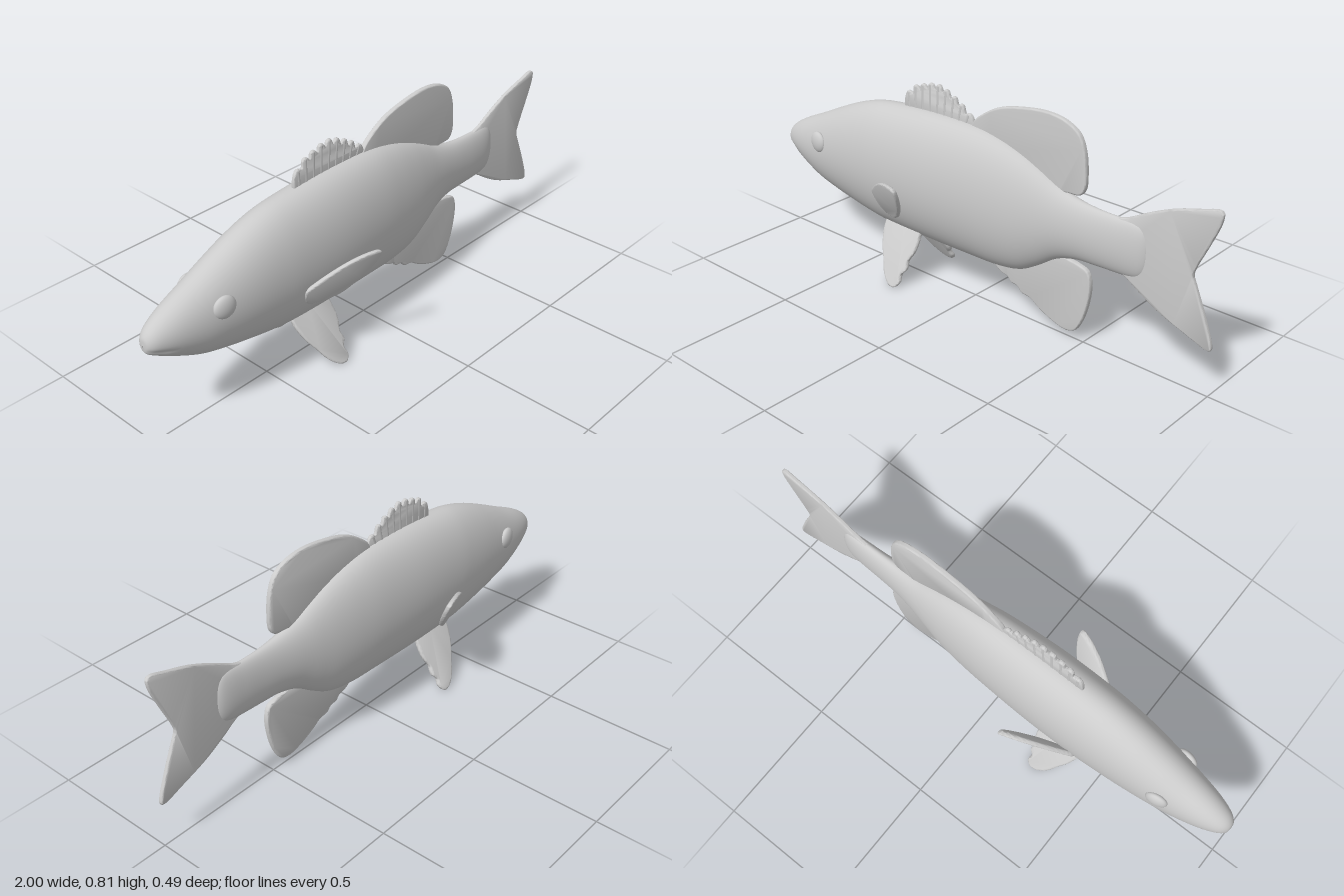
import * as THREE from 'three';
import { toCreasedNormals } from 'three/addons/utils/BufferGeometryUtils.js';

const material = new THREE.MeshStandardMaterial({ color: 0xcccccc, roughness: 0.7, side: THREE.DoubleSide });

function addMesh(parent, name, geometry) {
  const mesh = new THREE.Mesh(geometry, material);
  mesh.name = name;
  parent.add(mesh);
  return mesh;
}

// Body stations from snout to tail root: [x, top, bottom, half width]
const STATIONS = [
  [-1.0, 0.39, 0.382, 0.002], [-0.994, 0.418, 0.358, 0.024], [-0.965, 0.448, 0.337, 0.046],
  [-0.9, 0.485, 0.3, 0.069], [-0.8, 0.53, 0.253, 0.09], [-0.7, 0.577, 0.225, 0.104],
  [-0.6, 0.62, 0.204, 0.115], [-0.5, 0.652, 0.186, 0.122], [-0.4, 0.668, 0.176, 0.126],
  [-0.2, 0.682, 0.172, 0.126], [0, 0.68, 0.172, 0.115], [0.12, 0.662, 0.174, 0.103],
  [0.22, 0.632, 0.192, 0.089], [0.3, 0.598, 0.235, 0.074], [0.38, 0.56, 0.288, 0.058],
  [0.46, 0.536, 0.313, 0.045], [0.54, 0.526, 0.318, 0.037], [0.62, 0.524, 0.321, 0.032],
  [0.68, 0.525, 0.325, 0.027], [0.715, 0.515, 0.338, 0.02], [0.735, 0.48, 0.37, 0.01],
  [0.74, 0.43, 0.42, 0.002],
];

function bodyGeometry() {
  const rings = 126, sides = 64, positions = [], indices = [];
  const curve = (f) => new THREE.CatmullRomCurve3(STATIONS.map(f), false, 'catmullrom', 0.5);
  const along = curve((s) => new THREE.Vector3(s[0], 0, 0));
  const section = curve((s) => new THREE.Vector3(s[1], s[2], s[3]));
  for (let i = 0; i <= rings; i++) {
    const x = along.getPoint(i / rings).x;
    const { x: top, y: bottom, z: width } = section.getPoint(i / rings);
    for (let j = 0; j < sides; j++) {
      const a = (j / sides) * Math.PI * 2;
      const y = (top + bottom) / 2 + ((top - bottom) / 2) * Math.cos(a);
      // The belly is a little keeled
      const s = Math.sin(a);
      let z = width * Math.sign(s) * Math.pow(Math.abs(s), Math.cos(a) < 0 ? 1.12 : 1);
      // Shallow mouth crease
      const d = (y - (0.372 - 0.25 * (x + 1))) / 0.008;
      z *= 1 - 0.1 * Math.exp(-d * d) * THREE.MathUtils.clamp((-0.9 - x) / 0.04, 0, 1);
      positions.push(x, y, z);
      if (i < rings) {
        const k = (j + 1) % sides, p = i * sides, q = p + sides;
        indices.push(p + j, p + k, q + j, p + k, q + k, q + j);
      }
    }
  }
  const geometry = new THREE.BufferGeometry();
  geometry.setAttribute('position', new THREE.Float32BufferAttribute(positions, 3));
  geometry.setIndex(indices);
  geometry.computeVertexNormals();
  return geometry;
}

// Thin plate with rounded rim; lean(x, y) gives the z of its mid-plane
function finGeometry(points, half, lean = () => 0) {
  const outline = new THREE.CatmullRomCurve3(points.map(([x, y]) => new THREE.Vector3(x, y, 0)), true, 'centripetal');
  const shape = new THREE.Shape(outline.getPoints(points.length * 6).slice(0, -1).map((p) => new THREE.Vector2(p.x, p.y)));
  const bevel = half * 0.65, depth = 2 * (half - bevel);
  const geometry = new THREE.ExtrudeGeometry(shape, {
    depth, bevelThickness: bevel, bevelSize: bevel, bevelOffset: -bevel, bevelSegments: 3,
  });
  geometry.translate(0, 0, -depth / 2);
  const p = geometry.attributes.position;
  for (let i = 0; i < p.count; i++) p.setZ(i, p.getZ(i) + lean(p.getX(i), p.getY(i)));
  return toCreasedNormals(geometry, 0.9);
}

const TAIL = [
  [0.58, 0.5], [0.66, 0.535], [0.74, 0.578], [0.83, 0.618], [0.92, 0.645], [0.985, 0.662], [0.998, 0.655],
  [0.996, 0.62], [0.96, 0.53], [0.922, 0.445], [0.914, 0.415], [0.925, 0.385], [0.965, 0.29], [0.998, 0.195],
  [0.998, 0.175], [0.985, 0.171], [0.91, 0.196], [0.8, 0.238], [0.72, 0.282], [0.66, 0.32], [0.58, 0.35],
];
const SOFT_DORSAL = [
  [-0.02, 0.64], [-0.005, 0.695], [0.04, 0.735], [0.11, 0.774], [0.2, 0.798], [0.32, 0.812], [0.4, 0.8],
  [0.455, 0.768], [0.48, 0.715], [0.49, 0.63], [0.485, 0.575], [0.465, 0.553], [0.4, 0.545], [0.34, 0.5], [0.15, 0.58],
];
const ANAL = [
  [0.08, 0.22], [0.1, 0.17], [0.135, 0.147], [0.16, 0.141], [0.175, 0.124], [0.205, 0.119], [0.225, 0.1],
  [0.265, 0.092], [0.3, 0.07], [0.36, 0.042], [0.425, 0.026], [0.465, 0.038], [0.495, 0.085], [0.52, 0.17],
  [0.525, 0.245], [0.51, 0.285], [0.47, 0.3], [0.41, 0.31], [0.34, 0.35], [0.2, 0.3],
];
const PECTORAL = [
  [-0.415, 0.345], [-0.405, 0.3], [-0.385, 0.28], [-0.33, 0.273], [-0.27, 0.285], [-0.225, 0.325],
  [-0.19, 0.375], [-0.172, 0.425], [-0.175, 0.455], [-0.21, 0.459], [-0.27, 0.445], [-0.33, 0.415], [-0.385, 0.375],
];
const PELVIC = [
  [-0.41, 0.225], [-0.415, 0.18], [-0.395, 0.125], [-0.365, 0.08], [-0.335, 0.035], [-0.295, 0.006], [-0.265, 0.005],
  [-0.25, 0.025], [-0.255, 0.05], [-0.24, 0.07], [-0.245, 0.1], [-0.232, 0.13], [-0.232, 0.18], [-0.245, 0.225],
];
// Spine tips of the front dorsal fin
const SPINES = [
  [-0.322, 0.735], [-0.287, 0.764], [-0.25, 0.777], [-0.212, 0.788], [-0.174, 0.791],
  [-0.137, 0.781], [-0.1, 0.764], [-0.065, 0.744], [-0.03, 0.718],
];

function spinyDorsal() {
  const group = new THREE.Group();
  group.name = 'spinyDorsalFin';
  // Membrane dips between neighbouring spines
  const edge = [[-0.33, 0.64], [-0.345, 0.68]];
  SPINES.forEach(([x, y], i) => {
    edge.push([x - 0.01, y - 0.006], [x + 0.008, y - 0.002]);
    const next = SPINES[i + 1];
    if (next) edge.push([(x + next[0]) / 2 + 0.003, (y + next[1]) / 2 - 0.02]);
  });
  edge.push([-0.005, 0.69], [-0.01, 0.64]);
  addMesh(group, 'dorsalMembrane', finGeometry(edge, 0.007));
  SPINES.forEach(([x, y]) => {
    const foot = new THREE.Vector3(x * 0.92 - 0.022, 0.66, 0);
    const tip = new THREE.Vector3(x, y - 0.009, 0);
    const dir = tip.clone().sub(foot);
    const spine = addMesh(group, 'dorsalSpine', new THREE.CapsuleGeometry(0.009, dir.length(), 4, 10));
    spine.position.copy(foot).add(tip).multiplyScalar(0.5);
    spine.quaternion.setFromUnitVectors(new THREE.Vector3(0, 1, 0), dir.normalize());
  });
  return group;
}

export function createModel() {
  const fish = new THREE.Group();
  fish.name = 'fish';
  addMesh(fish, 'body', bodyGeometry());
  addMesh(fish, 'tailFin', finGeometry(TAIL, 0.008));
  addMesh(fish, 'softDorsalFin', finGeometry(SOFT_DORSAL, 0.01));
  addMesh(fish, 'analFin', finGeometry(ANAL, 0.01));
  fish.add(spinyDorsal());

  // Paired fins and eyes
  for (const [side, label] of [[1, 'front'], [-1, 'back']]) {
    addMesh(fish, label + 'PectoralFin', finGeometry(PECTORAL, 0.01,
      (x, y) => side * (0.23 + 0.318 * (x + 0.17) + 0.424 * (y - 0.43))));
    addMesh(fish, label + 'PelvicFin', finGeometry(PELVIC, 0.011, (x, y) => side * (0.164 - 0.6 * y)));
    const eye = addMesh(fish, label + 'Eye', new THREE.SphereGeometry(0.042, 28, 18));
    eye.scale.z = 0.45;
    eye.position.set(-0.742, 0.445, side * 0.092);
    eye.rotation.y = -side * 0.15;
  }
  return fish;
}
